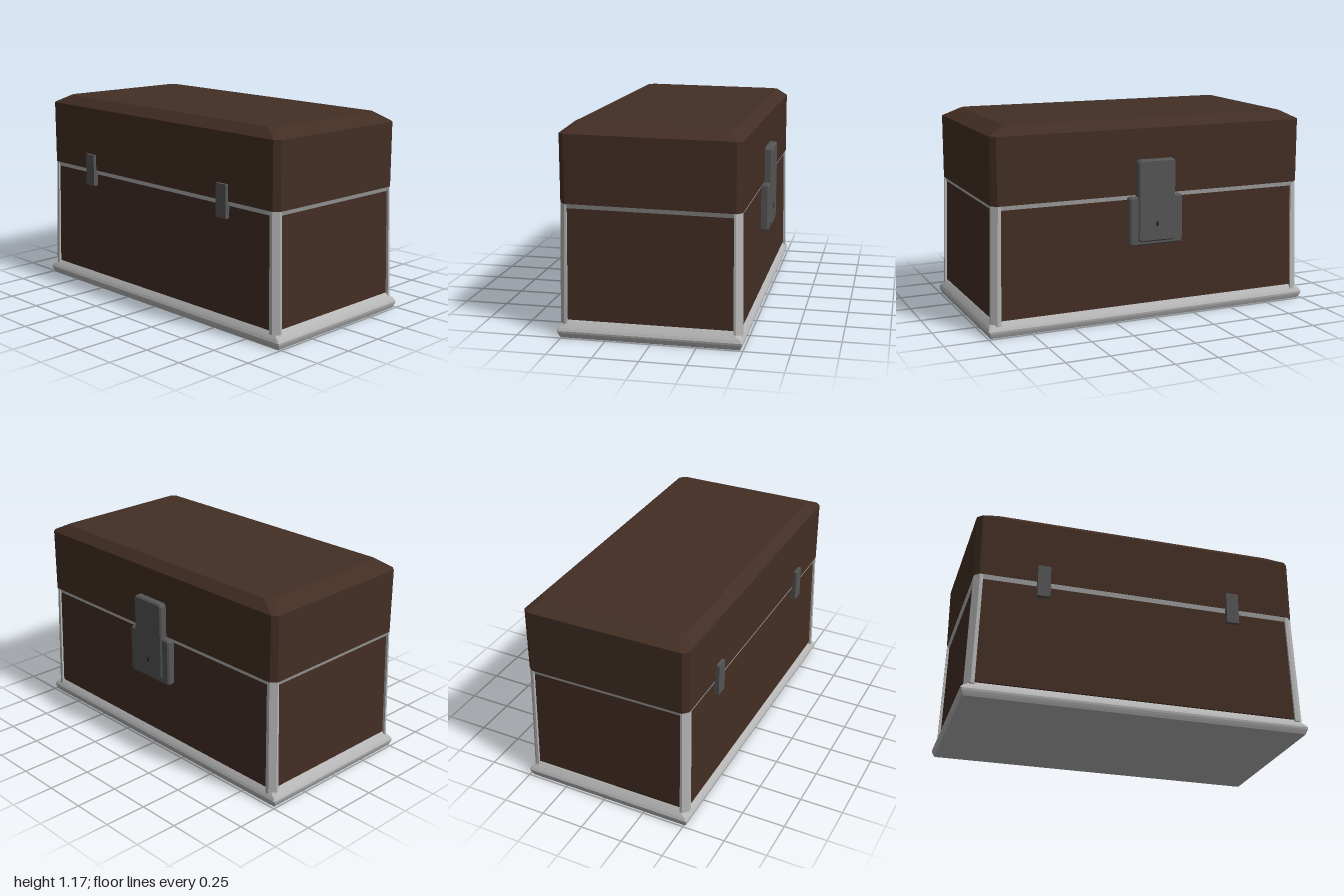
import * as THREE from 'three';

const brown = new THREE.MeshStandardMaterial({ color: 0x432e24 });
brown.name = 'dark wood';
const silver = new THREE.MeshStandardMaterial({ color: 0xb6b6b6 });
silver.name = 'silver trim';
const iron = new THREE.MeshStandardMaterial({ color: 0x555555 });
iron.name = 'dark iron';
const black = new THREE.MeshStandardMaterial({ color: 0x181818 });
black.name = 'keyhole black';

const CZ = 0.012; // the case sits slightly forward of the latch

// Rectangle with cut corners, as [x, z] points
function cutRect(hx, hz, c, cz = CZ) {
  const p = [[hx, -hz + c], [hx, hz - c], [hx - c, hz], [-hx + c, hz],
    [-hx, hz - c], [-hx, -hz + c], [-hx + c, -hz], [hx - c, -hz]];
  return p.map(([x, z]) => [x, z + cz]);
}

// Flat-faced solid through convex [x, z] rings at rising heights;
// tilt lowers the rear of each ring
function loft(sections, tilt = 0) {
  const rings = sections.map(({ y, ring }) => {
    let area = 0;
    ring.forEach(([x, z], i) => {
      const [u, w] = ring[(i + 1) % ring.length];
      area += x * w - u * z;
    });
    const ordered = area < 0 ? [...ring].reverse() : ring;
    return ordered.map(([x, z]) => [x, y + tilt * (z - 0.5), z]);
  });
  const pos = [];
  const tri = (a, b, c) => pos.push(...a, ...b, ...c);
  const n = rings[0].length;
  for (let s = 0; s < rings.length - 1; s++) {
    const lo = rings[s], hi = rings[s + 1];
    for (let i = 0; i < n; i++) {
      const j = (i + 1) % n;
      tri(lo[i], hi[i], lo[j]);
      tri(lo[j], hi[i], hi[j]);
    }
  }
  const bottom = rings[0], top = rings[rings.length - 1];
  for (let i = 1; i < n - 1; i++) {
    tri(bottom[0], bottom[i], bottom[i + 1]);
    tri(top[0], top[i + 1], top[i]);
  }
  const g = new THREE.BufferGeometry();
  g.setAttribute('position', new THREE.Float32BufferAttribute(pos, 3));
  g.computeVertexNormals();
  return g;
}

export function createModel() {
  const model = new THREE.Group();
  model.name = 'chest';
  const add = (name, geometry, material, parent = model) => {
    const m = new THREE.Mesh(geometry, material);
    m.name = name;
    parent.add(m);
    return m;
  };

  // Rounded plinth moulding: [y, outward half width]
  const profile = [[0, 0.986], [0.015, 0.993], [0.028, 0.998], [0.04, 1],
    [0.055, 0.993], [0.07, 0.983], [0.088, 0.969], [0.105, 0.953]];
  add('basePlinth', loft(profile.map(([y, hx]) => (
    { y, ring: cutRect(hx, hx - 0.49, y > 0.06 ? 0.02 : 0.006) }))), silver);

  // Tapered wooden body
  add('body', loft([
    { y: 0.09, ring: cutRect(0.962, 0.489, 0.01) },
    { y: 0.72, ring: cutRect(0.945, 0.481, 0.01) },
  ]), brown);

  // Trim band under the lid
  add('upperTrim', loft([
    { y: 0.714, ring: cutRect(0.946, 0.482, 0.012) },
    { y: 0.74, ring: cutRect(0.957, 0.49, 0.028) },
  ], 0.0115), silver);

  // Corner posts with a cut outer edge
  const posts = new THREE.Group();
  posts.name = 'cornerPosts';
  model.add(posts);
  const postRing = (sx, sz, hx, hz, w, d) => [
    [hx - w, hz], [hx - 0.032, hz], [hx, hz - 0.03], [hx, hz - d], [hx - w, hz - d],
  ].map(([x, z]) => [sx * x, CZ + sz * z]);
  for (const sx of [-1, 1]) {
    for (const sz of [-1, 1]) {
      add('cornerPost', loft([
        { y: 0.075, ring: postRing(sx, sz, 0.978, 0.502, 0.053, 0.045) },
        { y: 0.736, ring: postRing(sx, sz, 0.959, 0.492, 0.05, 0.04) },
      ], 0.0115), silver, posts);
    }
  }

  // Lid with cut corners and a bevelled top
  add('lid', loft([
    { y: 0.74, ring: cutRect(0.96, 0.493, 0.03, 0.011) },
    { y: 1.116, ring: cutRect(0.96, 0.493, 0.03, 0.011) },
    { y: 1.166, ring: cutRect(0.86, 0.437, 0.03, 0.007) },
  ], 0.0115), brown);

  // Strap hinges on the front
  for (const sx of [-1, 1]) {
    add('hinge', new THREE.BoxGeometry(0.075, 0.19, 0.03), iron)
      .position.set(sx * 0.567, 0.74, 0.508);
  }

  // Latch on the back
  const latch = new THREE.Group();
  latch.name = 'latch';
  model.add(latch);

  const bevelPlate = (w, h, d, c) => {
    const s = new THREE.Shape();
    s.moveTo(-w / 2 + c, -h / 2);
    s.lineTo(w / 2 - c, -h / 2);
    s.lineTo(w / 2, -h / 2 + c);
    s.lineTo(w / 2, h / 2 - c);
    s.lineTo(w / 2 - c, h / 2);
    s.lineTo(-w / 2 + c, h / 2);
    s.lineTo(-w / 2, h / 2 - c);
    s.lineTo(-w / 2, -h / 2 + c);
    s.closePath();
    return new THREE.ExtrudeGeometry(s, {
      depth: d, bevelEnabled: true, bevelThickness: 0.008,
      bevelSize: 0.008, bevelOffset: -0.008, bevelSegments: 1,
    }).rotateY(Math.PI);
  };
  add('latchPlate', bevelPlate(0.33, 0.28, 0.042, 0.01), iron, latch)
    .position.set(0, 0.58, -0.465);
  const hasp = add('hasp', bevelPlate(0.23, 0.47, 0.045, 0.014), iron, latch);
  hasp.position.set(0, 0.695, -0.471);
  hasp.rotation.x = -0.004;
  add('keyhole', new THREE.BoxGeometry(0.012, 0.026, 0.004), black, latch)
    .position.set(0, 0.56, -0.5235);

  return model;
}
